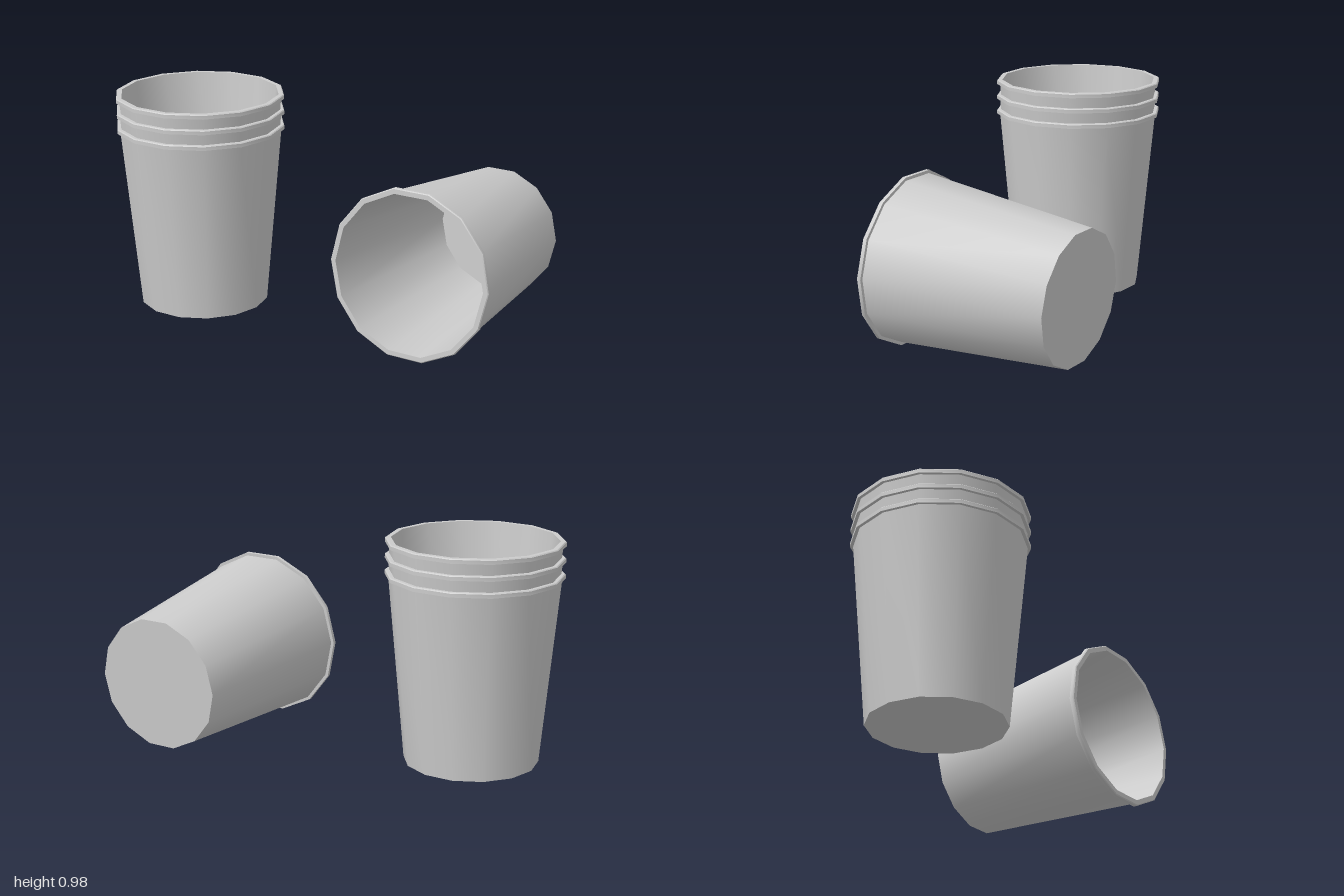
import * as THREE from 'three';
import { toCreasedNormals } from 'three/addons/utils/BufferGeometryUtils.js';

const SIDES = 14;
const STACK_STEP = 0.07;

// Thin tapered cup: floor, outer wall, rolled lip, inner wall, inner floor
function cupGeometry() {
  const profile = [
    [0, 0], [0.293, 0], [0.368, 0.818],
    [0.382, 0.818], [0.382, 0.834], [0.378, 0.838], [0.357, 0.838],
    [0.2805, 0.015], [0, 0.015],
  ].map(([r, y]) => new THREE.Vector2(r, y));
  const lathe = new THREE.LatheGeometry(profile, SIDES, Math.PI / 2);
  return toCreasedNormals(lathe, THREE.MathUtils.degToRad(38));
}

export function createModel() {
  const model = new THREE.Group();
  model.name = 'cups';
  const material = new THREE.MeshStandardMaterial({ color: 0xcccccc });
  const geometry = cupGeometry();

  const makeCup = (name) => {
    const cup = new THREE.Mesh(geometry, material);
    cup.name = name;
    return cup;
  };

  // Upright stack of three nested cups
  const stack = new THREE.Group();
  stack.name = 'cupStack';
  stack.position.set(-0.617, 0, -0.203);
  for (let i = 0; i < 3; i++) {
    const cup = makeCup(`stackedCup${i + 1}`);
    cup.position.y = i * STACK_STEP;
    stack.add(cup);
  }
  model.add(stack);

  // Cup lying on its side, mouth turned to the front
  const fallen = makeCup('fallenCup');
  fallen.rotation.order = 'YXZ';
  fallen.rotation.set(
    THREE.MathUtils.degToRad(90 - 2.9),
    THREE.MathUtils.degToRad(-25.4),
    0,
  );
  fallen.position.set(0.731, 0.331, -0.344);
  model.add(fallen);

  return model;
}
